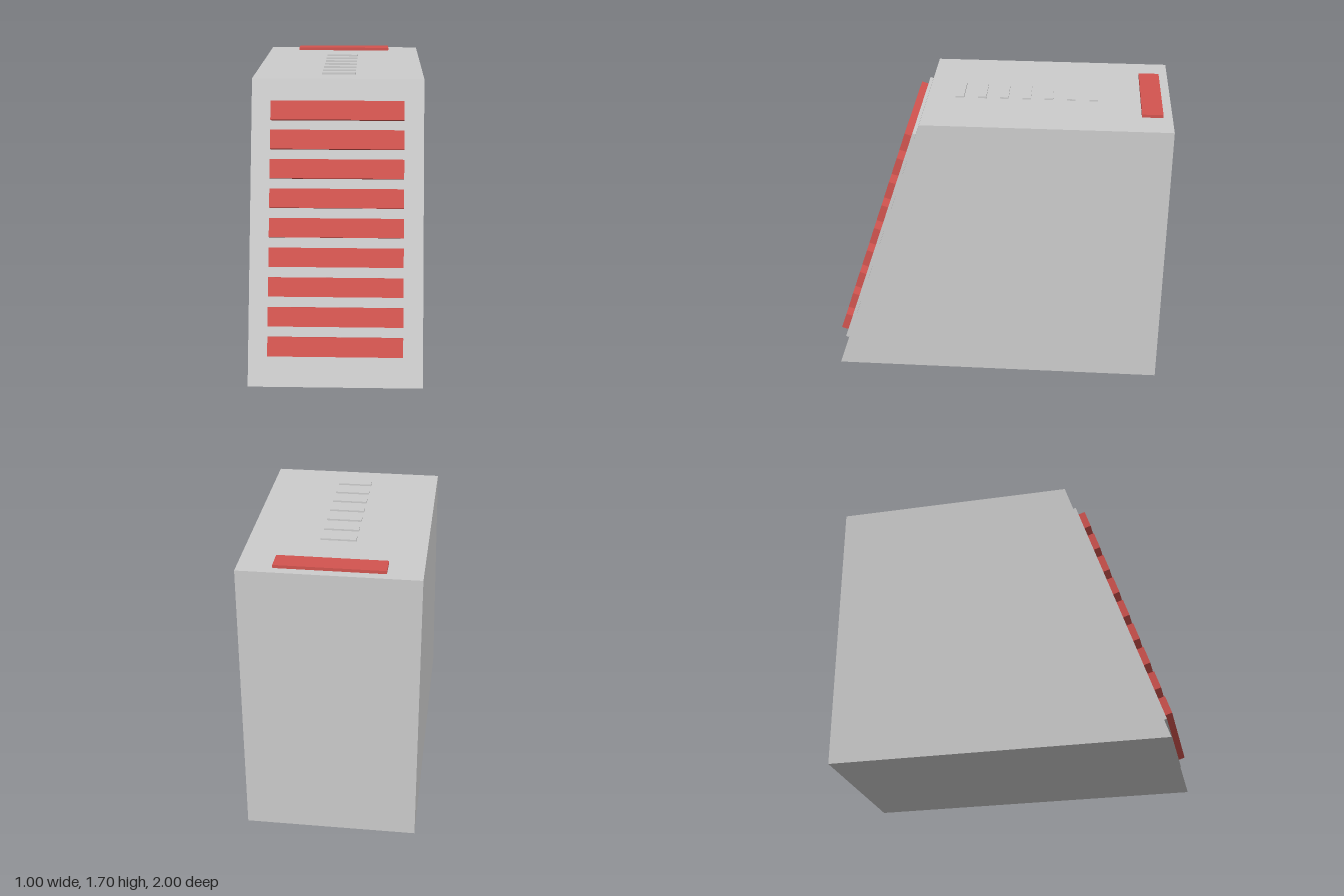
import * as THREE from 'three';

const grey = new THREE.MeshStandardMaterial({ color: 0xcccccc, flatShading: true });
const red = new THREE.MeshStandardMaterial({ color: 0xd2544f, flatShading: true });

function addBox(parent, name, material, size, position) {
  const mesh = new THREE.Mesh(new THREE.BoxGeometry(...size), material);
  mesh.name = name;
  mesh.position.set(...position);
  parent.add(mesh);
}

export function createModel() {
  const model = new THREE.Group();
  model.name = 'cabinet';

  const width = 1, height = 1.685;
  const frontBottom = 0.995, frontTop = 0.433, back = -1;

  // Body: side outline (drawn with -z along the shape's x) extruded across the width
  const outline = new THREE.Shape([
    new THREE.Vector2(-frontBottom, 0),
    new THREE.Vector2(-back, 0),
    new THREE.Vector2(-back, height),
    new THREE.Vector2(-frontTop, height),
  ]);
  const bodyGeometry = new THREE.ExtrudeGeometry(outline, { depth: width, bevelEnabled: false });
  bodyGeometry.translate(0, 0, -width / 2).rotateY(Math.PI / 2);
  const body = new THREE.Mesh(bodyGeometry, grey);
  body.name = 'body';
  model.add(body);

  // Sloping front: local y runs up the slope, local z points out of it
  const front = new THREE.Group();
  front.name = 'slopingFront';
  front.position.z = frontBottom;
  front.rotation.x = -Math.atan2(frontBottom - frontTop, height);
  model.add(front);

  addBox(front, 'frontPanel', grey, [0.834, 1.53, 0.03], [0, 0.907, 0.005]);
  for (let i = 0; i < 9; i++) {
    addBox(front, 'frontSlat', red, [0.77, 0.11, 0.042], [0, 0.232 + i * 0.169, 0.041]);
  }

  // Top: a row of small vents and a bar near the back
  for (let i = 0; i < 7; i++) {
    addBox(model, 'topVent', grey, [0.2, 0.02, 0.05], [0, height, -0.55 + i * 0.132]);
  }
  addBox(model, 'topBar', red, [0.61, 0.036, 0.122], [0, height, -0.886]);

  return model;
}
